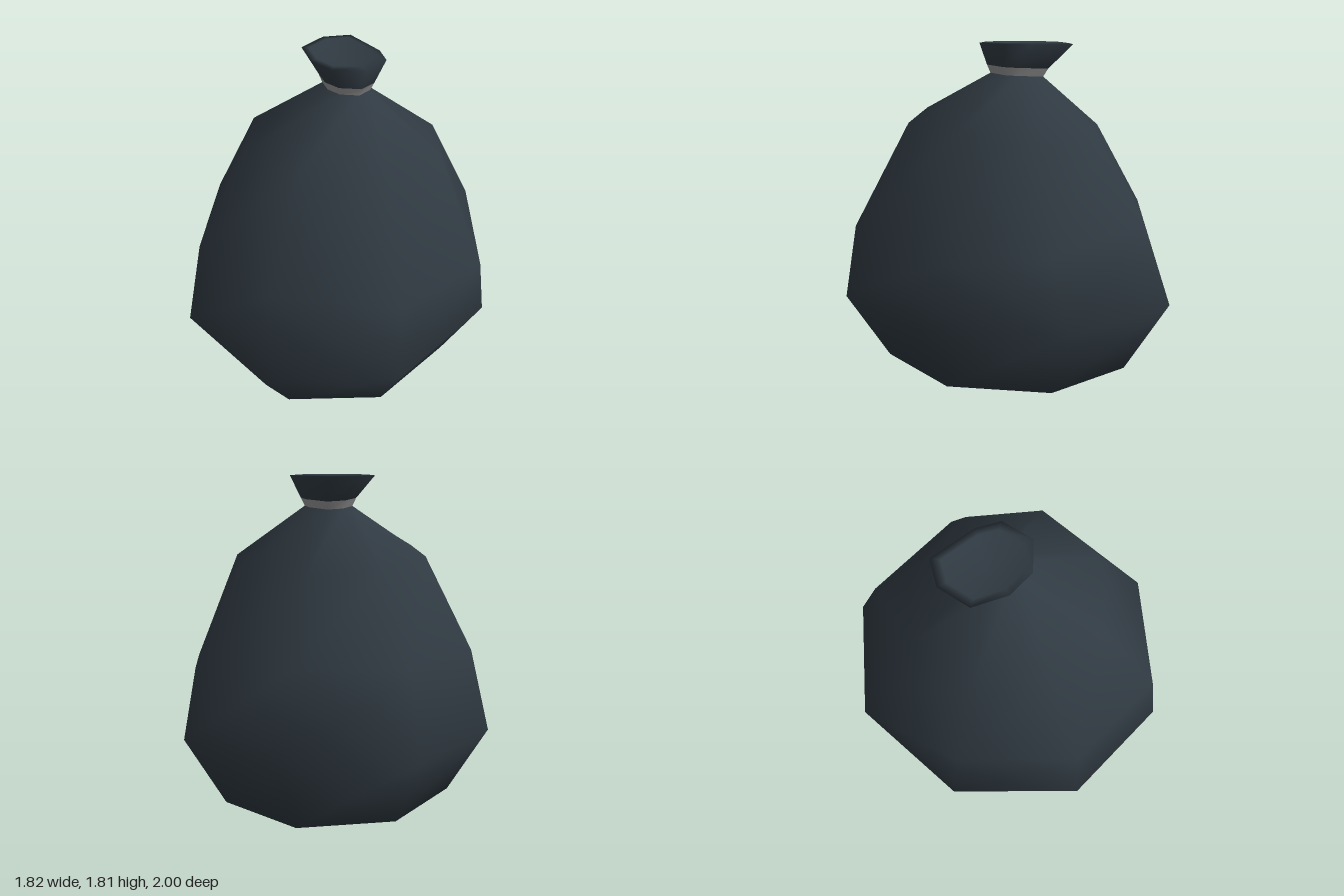
import * as THREE from 'three';

const SIDES = 8;

// Eight-sided ring from its four extremes, each given as [distance, height]
function bagRing(right, front, left, back) {
  const ends = [right, front, left, back];
  const ring = [];
  for (let i = 0; i < SIDES; i++) {
    const a = (i / SIDES) * Math.PI * 2;
    const p = ends[Math.floor(i / 2)];
    const q = ends[Math.ceil(i / 2) % 4];
    const rx = Math.cos(a) >= 0 ? right[0] : left[0];
    const rz = Math.sin(a) >= 0 ? front[0] : back[0];
    ring.push([Math.cos(a) * rx, (p[1] + q[1]) / 2, Math.sin(a) * rz]);
  }
  return ring;
}

// Crumpled outline of the gathered neck, centred on its own middle
const NECK = [[0.24, 0.01], [0.2, 0.19], [0.03, 0.25], [-0.12, 0.185],
  [-0.245, 0.03], [-0.2, -0.16], [-0.07, -0.25], [0.16, -0.1]];

// Neck outline scaled and placed, leaning down towards the back
function neckRing(scale, x, y, z, lean) {
  return NECK.map(([px, pz]) => [x + px * scale, y + pz * scale * lean, z + pz * scale]);
}

// Smooth skin over stacked rings, with optional centre points closing the ends
function loft(rings, bottom, top) {
  const points = rings.flat();
  const index = [];
  for (let r = 0; r < rings.length - 1; r++) {
    for (let i = 0; i < SIDES; i++) {
      const a = r * SIDES + i;
      const b = r * SIDES + (i + 1) % SIDES;
      index.push(a, a + SIDES, b, b, a + SIDES, b + SIDES);
    }
  }
  if (bottom) {
    const c = points.push(bottom) - 1;
    for (let i = 0; i < SIDES; i++) index.push(c, i, (i + 1) % SIDES);
  }
  if (top) {
    const c = points.push(top) - 1;
    const s = (rings.length - 1) * SIDES;
    for (let i = 0; i < SIDES; i++) index.push(c, s + (i + 1) % SIDES, s + i);
  }
  const geometry = new THREE.BufferGeometry();
  geometry.setAttribute('position', new THREE.Float32BufferAttribute(points.flat(), 3));
  geometry.setIndex(index);
  geometry.computeVertexNormals();
  return geometry;
}

export function createModel() {
  const plastic = new THREE.MeshStandardMaterial({ color: 0x303a42 });
  plastic.name = 'dark plastic';
  const cord = new THREE.MeshStandardMaterial({ color: 0x999999 });
  cord.name = 'grey cord';

  const group = new THREE.Group();
  const add = (name, geometry, material) => {
    const mesh = new THREE.Mesh(geometry, material);
    mesh.name = name;
    group.add(mesh);
  };

  const neckLow = neckRing(0.57, 0.02, 1.635, -0.07, 0.09);
  const neckHigh = neckRing(0.66, 0.02, 1.68, -0.075, 0.08);

  // Full, slightly lopsided sack
  add('sack', loft([
    bagRing([0.685, 0], [0.75, 0], [0.685, 0], [0.75, 0]),
    bagRing([0.91, 0.4], [1, 0.36], [0.91, 0.38], [1, 0.42]),
    bagRing([0.87, 0.71], [0.905, 0.89], [0.8, 0.84], [0.84, 0.86]),
    bagRing([0.6, 1.34], [0.56, 1.41], [0.53, 1.36], [0.56, 1.29]),
    neckLow,
  ], [0, 0, 0]), plastic);

  // Band tied round the neck
  add('tie', loft([neckLow, neckHigh]), cord);

  // Flared, gathered mouth with a rolled lip and a shallow hollow
  add('mouth', loft([
    neckHigh,
    neckRing(1, -0.01, 1.805, -0.115, 0.02),
    neckRing(0.8, -0.015, 1.81, -0.11, 0.01),
  ], null, [-0.01, 1.74, -0.1]), plastic);

  return group;
}
